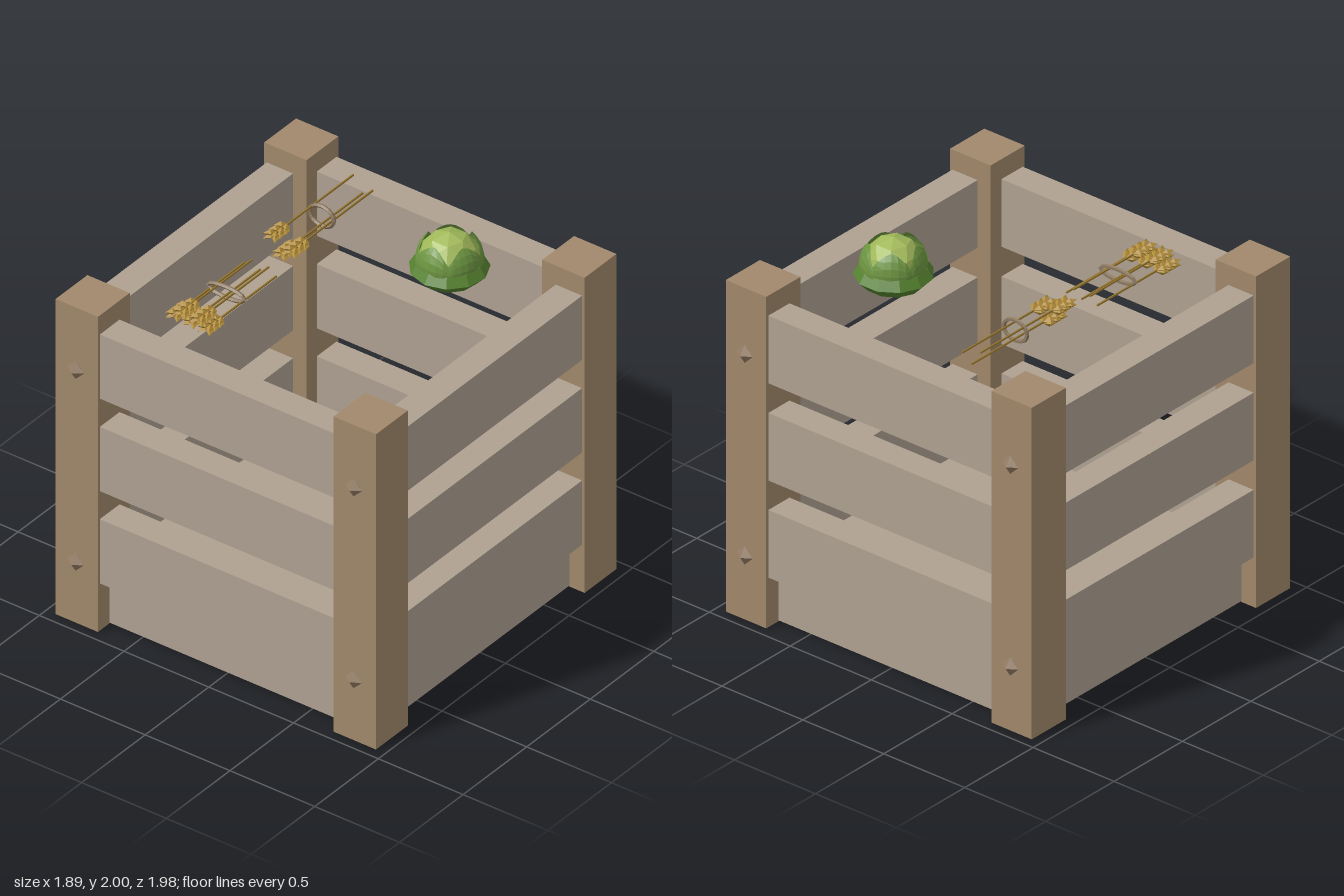
import * as THREE from 'three';

const mat = (name, color) => {
  const m = new THREE.MeshStandardMaterial({ color });
  m.name = name;
  m.flatShading = true;
  return m;
};

export function createModel() {
  const model = new THREE.Group();
  model.name = 'produceCrate';
  const postWood = mat('postWood', 0xa1886b);
  const slatWood = mat('slatWood', 0xaea191);
  const studMetal = mat('stud', 0x937b64);
  const straw = mat('straw', 0x94742f);
  const grain = mat('grain', 0xb8923d);
  const twine = mat('twine', 0x8d7960);
  const leafDark = mat('outerLeaf', 0x55812f);
  const leafMid = mat('innerLeaf', 0x6c9440);
  const heart = mat('cabbageHeart', 0xa0b859);
  leafDark.side = leafMid.side = THREE.DoubleSide;

  const add = (parent, name, geo, material, x = 0, y = 0, z = 0) => {
    const mesh = new THREE.Mesh(geo, material);
    mesh.name = name;
    mesh.position.set(x, y, z);
    parent.add(mesh);
    return mesh;
  };

  // Corner posts, with faceted studs on the front and back faces
  const postGeo = new THREE.BoxGeometry(0.25, 1.8, 0.25);
  const studGeo = new THREE.OctahedronGeometry(0.05).scale(1, 1, 0.66);
  for (const sx of [-1, 1]) for (const sz of [-1, 1]) {
    add(model, 'cornerPost', postGeo, postWood, sx * 0.82, 0.9, sz * 0.82);
    for (const y of [0.355, 1.45]) add(model, 'stud', studGeo, studMetal, sx * 0.82, y, sz * 0.955);
  }

  // Floor and three slats on each side
  add(model, 'floor', new THREE.BoxGeometry(1.71, 0.265, 1.71), slatWood, 0, 0.1375, 0);
  const slatGeo = new THREE.BoxGeometry(1.42, 0.367, 0.155);
  for (let side = 0; side < 4; side++) {
    const wall = new THREE.Group();
    wall.name = 'slatWall';
    wall.rotation.y = side * Math.PI / 2;
    for (const y of [0.453, 0.98, 1.508]) add(wall, 'slat', slatGeo, slatWood, 0, y, 0.8525);
    model.add(wall);
  }

  // Cabbage: flared outer leaves, pointed wrapping leaves, faceted heart
  const cabbage = new THREE.Group();
  cabbage.name = 'cabbage';
  cabbage.position.set(0.38, 1.71, -0.385);
  model.add(cabbage);
  const bowl = [[0, 0], [0.07, 0.008], [0.145, 0.04], [0.195, 0.092], [0.165, 0.14], [0.135, 0.15]];
  add(cabbage, 'outerLeaves',
    new THREE.LatheGeometry(bowl.map(([r, y]) => new THREE.Vector2(r, y)), 11), leafDark);
  add(cabbage, 'heart', new THREE.IcosahedronGeometry(0.15, 1), heart, 0, 0.14, 0);

  const leafGeo = new THREE.SphereGeometry(0.162, 6, 4, -0.7, 1.4, 0.75, 0.95);
  const p = leafGeo.attributes.position;
  for (let i = 0; i < p.count; i++) {
    // Drop the edges so that each leaf ends in a rounded point
    const across = Math.atan2(p.getZ(i), -p.getX(i)) / 0.7;
    const rise = Math.max(0, p.getY(i));
    const y = p.getY(i) - rise * 0.7 * Math.min(1, across * across);
    const r = Math.hypot(p.getX(i), p.getZ(i));
    const k = Math.sqrt(Math.max(0, 0.162 ** 2 - y * y)) / r;
    p.setXYZ(i, p.getX(i) * k, y, p.getZ(i) * k);
  }
  for (let i = 0; i < 5; i++) {
    const leaf = add(cabbage, 'wrappingLeaf', leafGeo, leafMid, 0, 0.14, 0);
    leaf.rotation.y = i * Math.PI * 2 / 5 + 0.3;
    leaf.scale.setScalar(1 + (i % 2) * 0.025);
  }

  // Wheat stalk: thin stem, rows of kernels pointing outward to the tip
  const kernelGeo = new THREE.OctahedronGeometry(1).scale(0.018, 0.018, 0.036);
  const wheat = (x, y, zStart, zTip) => {
    const stalk = new THREE.Group();
    stalk.name = 'wheatStalk';
    stalk.position.set(x, y, zTip);
    const len = zTip - zStart - 0.05;
    add(stalk, 'stem', new THREE.CylinderGeometry(0.006, 0.006, len, 5).rotateX(Math.PI / 2),
      straw, 0, 0, -0.05 - len / 2);
    for (let row = 0; row < 3; row++) for (const sx of [-1, 1]) for (const sy of [-1, 1]) {
      const kernel = add(stalk, 'kernel', kernelGeo, grain, sx * 0.018, sy * 0.009, -0.032 - row * 0.042);
      kernel.rotation.set(-sy * 0.2, sx * 0.5, 0);
    }
    return stalk;
  };
  const bundle = (name, stalks, zStart, zTip, tieY, tieZ, rx, ry) => {
    const group = new THREE.Group();
    group.name = name;
    for (const [x, y] of stalks) group.add(wheat(x, y, zStart, zTip));
    const tie = add(group, 'tie', new THREE.TorusGeometry(1, 0.1, 5, 16), twine, -0.38, tieY, tieZ);
    tie.geometry.dispose();
    // Oval loop of twine round the stems
    const loop = [];
    for (let i = 0; i < 14; i++) {
      const a = i / 14 * Math.PI * 2;
      loop.push(new THREE.Vector3(Math.cos(a) * rx, Math.sin(a) * ry, 0));
    }
    tie.geometry = new THREE.TubeGeometry(new THREE.CatmullRomCurve3(loop, true), 20, 0.011, 5, true);
    model.add(group);
  };
  bundle('frontWheat', [[-0.475, 1.733], [-0.43, 1.767], [-0.38, 1.733], [-0.33, 1.767], [-0.285, 1.733]],
    0.09, 0.665, 1.748, 0.355, 0.108, 0.03);
  bundle('backWheat', [[-0.435, 1.812], [-0.38, 1.73], [-0.32, 1.77]],
    -0.715, -0.05, 1.775, -0.395, 0.072, 0.055);

  return model;
}
